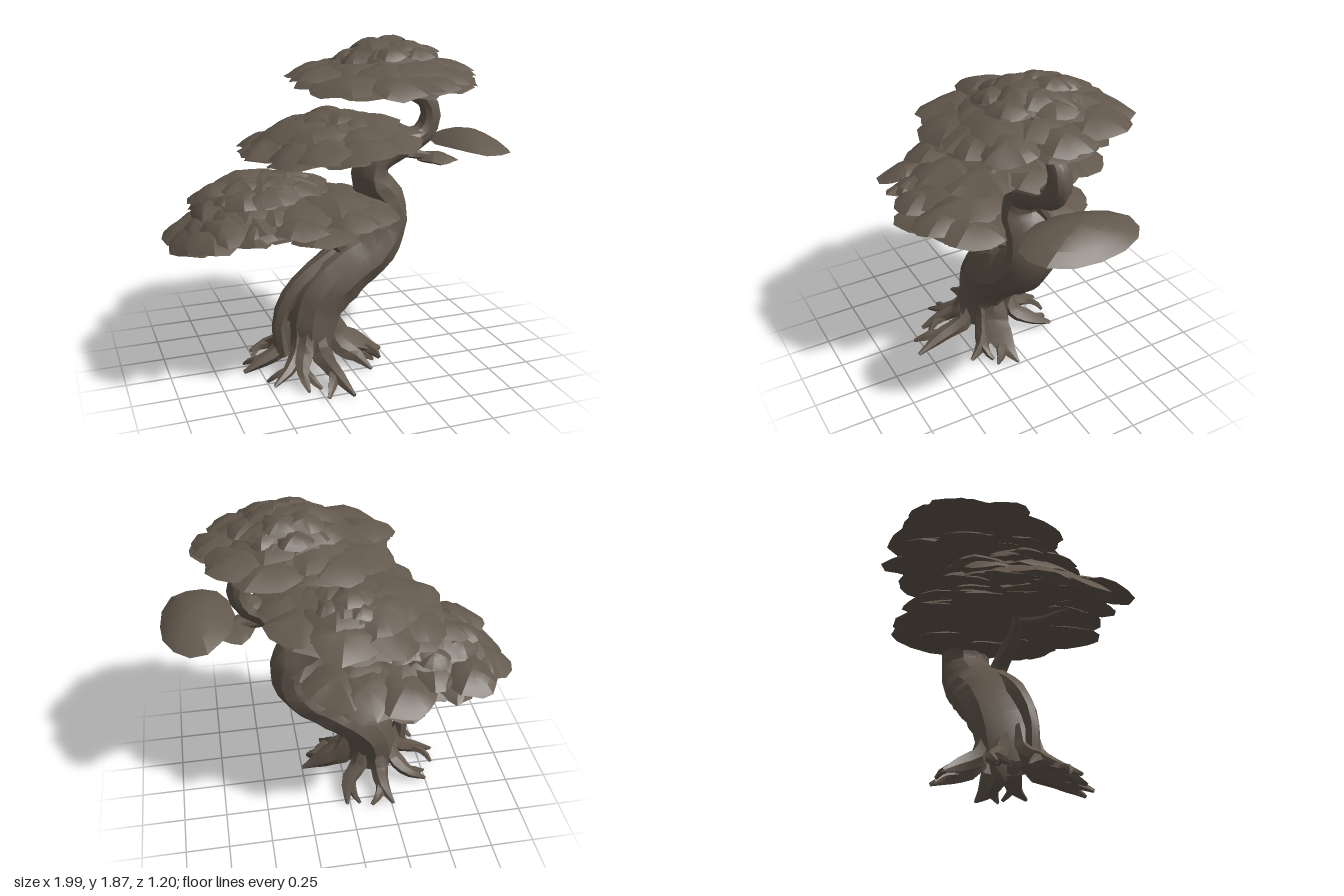
import * as THREE from 'three';
import { toCreasedNormals } from 'three/addons/utils/BufferGeometryUtils.js';

const bark = new THREE.MeshStandardMaterial({ color: 0x63584d, side: THREE.DoubleSide });
bark.name = 'darkBark';

// Small seeded generator for repeatable irregularity
let seed = 7;
const rnd = () => ((seed = (seed * 16807) % 2147483647) / 2147483647);
const vary = (a) => (rnd() * 2 - 1) * a;

function addMesh(parent, name, geometry, crease = 0.5) {
  const mesh = new THREE.Mesh(toCreasedNormals(geometry, crease), bark);
  mesh.name = name;
  parent.add(mesh);
  return mesh;
}

// Tapered limb swept along points [x, y, z, radius], with bark ridges; wide stretches its section in z
function limb(parent, name, points, sides = 7, rows = 10, ridge = 0.1, wide = 1) {
  const curve = new THREE.CatmullRomCurve3(points.map((p) => new THREE.Vector3(p[0], p[1], p[2])));
  const frames = curve.computeFrenetFrames(rows);
  const pos = [], idx = [], phase = rnd() * 6;
  for (let i = 0; i <= rows; i++) {
    const u = curve.getUtoTmapping(i / rows) * (points.length - 1);
    const k = Math.min(Math.floor(u), points.length - 2);
    const r = THREE.MathUtils.lerp(points[k][3], points[k + 1][3], u - k);
    const c = curve.getPointAt(i / rows);
    for (let j = 0; j < sides; j++) {
      const a = (j / sides) * Math.PI * 2;
      const rr = r * (1 + ridge * Math.sin(3 * a + phase + i * 0.25) + vary(ridge * 0.6));
      const v = c.clone()
        .addScaledVector(frames.normals[i], Math.cos(a) * rr)
        .addScaledVector(frames.binormals[i], Math.sin(a) * rr);
      pos.push(v.x, Math.max(v.y, 0), c.z + (v.z - c.z) * wide);
      if (i < rows) {
        const p = i * sides + j, q = i * sides + ((j + 1) % sides);
        idx.push(p, q, p + sides, q, q + sides, p + sides);
      }
    }
  }
  const g = new THREE.BufferGeometry();
  g.setAttribute('position', new THREE.Float32BufferAttribute(pos, 3));
  g.setIndex(idx);
  return addMesh(parent, name, g);
}

// Thin domed leaf plate: sharp irregular rim, raised top, slightly hollow underside
function plate(parent, name, x, y, z, rx, h, rz, tiltX = 0, tiltZ = 0, hollow = 0.1, ragged = 1) {
  const g = new THREE.SphereGeometry(1, 14, 8);
  const p = g.attributes.position, f1 = rnd() * 6, f2 = rnd() * 6;
  for (let i = 0; i < p.count; i++) {
    const px = p.getX(i), py = p.getY(i), pz = p.getZ(i);
    const r = Math.min(1, Math.hypot(px, pz)), a = Math.atan2(pz, px);
    const s = 1 + ragged * (0.07 * Math.sin(3 * a + f1) + 0.05 * Math.sin(5 * a + f2));
    const dome = 1 - Math.pow(r, 2);
    const bump = 0.18 * ragged * h * Math.sin(4 * a + f2) * r;
    p.setXYZ(i, px * rx * s, (py > 0 ? h : h * hollow) * dome + bump, pz * rz * s);
  }
  const m = addMesh(parent, name, g, 0.35);
  m.position.set(x, y, z);
  m.rotation.set(tiltX, 0, tiltZ);
}

// Foliage tier: core plate under rings of overlapping leaf plates, plus small lobes beneath
function tier(parent, name, x, y, z, rx, h, rz, count, tiltX, tiltZ) {
  const g = new THREE.Group();
  g.name = name;
  g.position.set(x, y, z);
  g.rotation.set(tiltX, 0, tiltZ);
  parent.add(g);
  plate(g, 'tierCore', 0, 0.01, 0, rx * 0.88, h * 0.85, rz * 0.88, 0, 0, 0.2);
  // Rings: distance, plate size, lift, thickness, dip, plates
  const rings = [
    [0.69, 0.34, 0.25, 0.36, 0.5, count],
    [0.4, 0.38, 0.58, 0.36, 0.5, Math.ceil(count * 0.6)],
    [0.68, 0.31, 0, 0.3, 0, Math.ceil(count * 0.8)],
  ];
  for (const [d, size, lift, thick, dip, n] of rings) {
    for (let i = 0; i < n; i++) {
      const a = ((i + vary(0.25)) / n) * Math.PI * 2, c = Math.cos(a), s = Math.sin(a);
      const k = size * (1 + vary(0.15));
      plate(g, 'leafPlate', c * d * rx, h * (lift + vary(0.14)), s * d * rz,
        rx * k, h * thick, rz * k, s * h * dip / rz + vary(0.06), -c * h * dip / rx + vary(0.06));
    }
  }
}

export function createModel() {
  const tree = new THREE.Group();
  tree.name = 'bonsaiTree';

  // Winding trunk and the separate strand along its lower side
  limb(tree, 'trunk', [
    [-0.19, 0.1, 0.05, 0.145], [-0.19, 0.2, 0.05, 0.15], [-0.15, 0.38, 0.03, 0.165],
    [0, 0.54, 0.025, 0.165], [0.19, 0.67, 0.025, 0.15], [0.295, 0.82, 0.015, 0.125],
    [0.285, 0.95, 0.005, 0.123], [0.2, 1.07, 0.005, 0.11], [0.23, 1.19, 0.005, 0.1],
    [0.37, 1.26, 0.01, 0.083], [0.52, 1.32, 0.01, 0.065], [0.565, 1.42, 0.01, 0.058],
    [0.53, 1.52, 0.01, 0.055], [0.42, 1.57, 0.01, 0.042], [0.3, 1.61, 0.01, 0.033],
  ], 11, 36, 0.06, 1.15);
  limb(tree, 'trunkStrand', [
    [-0.37, 0.1, 0.1, 0.045], [-0.38, 0.32, 0.09, 0.04], [-0.26, 0.5, 0.07, 0.06],
    [-0.05, 0.64, 0.06, 0.06], [0.12, 0.75, 0.05, 0.05], [0.22, 0.9, 0.05, 0.02],
  ], 6, 12);

  // Branches
  limb(tree, 'lowBranch', [
    [0.02, 0.62, 0.06, 0.06], [-0.02, 0.73, 0.08, 0.05], [-0.12, 0.79, 0.08, 0.045],
    [-0.25, 0.81, 0.06, 0.04], [-0.36, 0.88, 0.04, 0.03],
  ]);
  limb(tree, 'lowTwig', [[-0.36, 0.87, 0.05, 0.018], [-0.5, 0.83, 0.1, 0.015], [-0.66, 0.8, 0.12, 0.012], [-0.78, 0.76, 0.1, 0.003]], 5);
  limb(tree, 'middleBranch', [[0.22, 1.14, 0.02, 0.06], [0.12, 1.24, 0, 0.04], [0, 1.31, 0, 0.025]]);
  limb(tree, 'innerBranch', [[0.26, 0.93, 0.02, 0.06], [0.1, 0.96, 0, 0.04], [-0.1, 0.97, 0, 0.03]]);
  limb(tree, 'rightBranch', [[0.34, 1.24, 0.02, 0.045], [0.48, 1.2, 0.03, 0.03], [0.6, 1.18, 0.03, 0.012]]);
  for (const side of [-1, 1]) {
    limb(tree, 'topFork', [[0.5, 1.54, 0.01, 0.035], [0.52, 1.6, 0.01 + side * 0.03, 0.022], [0.52, 1.69, 0.01 + side * 0.07, 0.015]], 6, 5);
    limb(tree, 'crownFork', [[0.36, 1.59, 0.01, 0.035], [0.31, 1.63, side * 0.05, 0.028], [0.25, 1.69, side * 0.1, 0.02]], 6, 5);
  }

  // Foliage: [name, x, y, z, half width, height, half depth, plates, tilt x, tilt z]
  const tiers = [
    ['topLower', 0.25, 1.65, 0.05, 0.55, 0.13, 0.52, 10, 0.05, 0.01],
    ['topUpper', 0.28, 1.765, 0.03, 0.3, 0.105, 0.29, 7, 0, 0.04],
    ['middleLower', -0.05, 1.285, -0.03, 0.51, 0.14, 0.56, 10, 0, 0.09],
    ['middleUpper', 0, 1.39, -0.08, 0.24, 0.08, 0.28, 7, 0, 0.02],
    ['lowInner', -0.2, 0.885, 0.01, 0.51, 0.155, 0.58, 10, -0.05, 0.02],
    ['lowOuter', -0.6, 0.9, 0, 0.31, 0.14, 0.49, 9, -0.03, 0.12],
    ['lowUpper', -0.42, 1.035, -0.05, 0.37, 0.12, 0.31, 8, 0, 0.06],
  ];
  for (const t of tiers) tier(tree, t[0] + 'Foliage', ...t.slice(1));

  // Outlying leaf plates
  plate(tree, 'rightLeafPad', 0.8, 1.24, 0.04, 0.205, 0.09, 0.33, 0, -0.08, 0.2, 0.35);
  plate(tree, 'rightLowLeaf', 0.6, 1.165, 0.03, 0.12, 0.04, 0.14, 0, -0.05, -0.7);
  plate(tree, 'leftLeafPad', -0.8, 0.88, -0.08, 0.2, 0.06, 0.21, 0, 0.35);
  plate(tree, 'leftLeafPad', -0.8, 0.87, 0.12, 0.2, 0.06, 0.21, 0.08, 0.35);
  plate(tree, 'leftRearLeaf', -0.66, 0.95, -0.33, 0.14, 0.06, 0.18, -0.15, 0.1);
  plate(tree, 'leftFrontLeaf', -0.78, 0.9, 0.3, 0.15, 0.05, 0.18, 0.1, 0.15);

  // Spreading roots: [tip x, tip z, thickness, side fork reach]
  const roots = [
    [0.25, 0.06, 0.085, 0.07], [0.1, 0.3, 0.055, -0.07], [-0.1, 0.56, 0.06, 0.09],
    [-0.32, 0.44, 0.05, -0.08], [-0.48, 0.32, 0.045, 0.07], [-0.6, 0.1, 0.055, 0.09],
    [-0.5, -0.16, 0.05, -0.08], [-0.26, -0.34, 0.055, 0.08], [0.02, -0.3, 0.055, -0.08],
  ];
  for (const [tx, tz, r, fork] of roots) {
    const dx = tx + 0.19, dz = tz - 0.05, len = Math.hypot(dx, dz), ux = dx / len, uz = dz / len;
    const at = (d, y, rad, off = 0) => [-0.19 + ux * d - uz * off, y, 0.05 + uz * d + ux * off, rad];
    const bend = vary(0.04), mid = 0.17 + (len - 0.17) * 0.5;
    limb(tree, 'root', [
      at(0.12, 0.25 + vary(0.05), r * 0.7), at(0.17, 0.14 + vary(0.02), r, bend * 0.5),
      at(mid, 0.075, r * 0.75, bend), at(len, 0.025, 0.01),
    ], 6, 7, 0.18);
    limb(tree, 'rootFork', [
      at(mid - 0.04, 0.08, r * 0.5, bend),
      at(mid + 0.05, 0.06, r * 0.45, bend + fork * 0.6), at(len * 0.9, 0.02, 0.01, bend + fork * 1.3),
    ], 5, 4, 0.18);
  }
  return tree;
}
